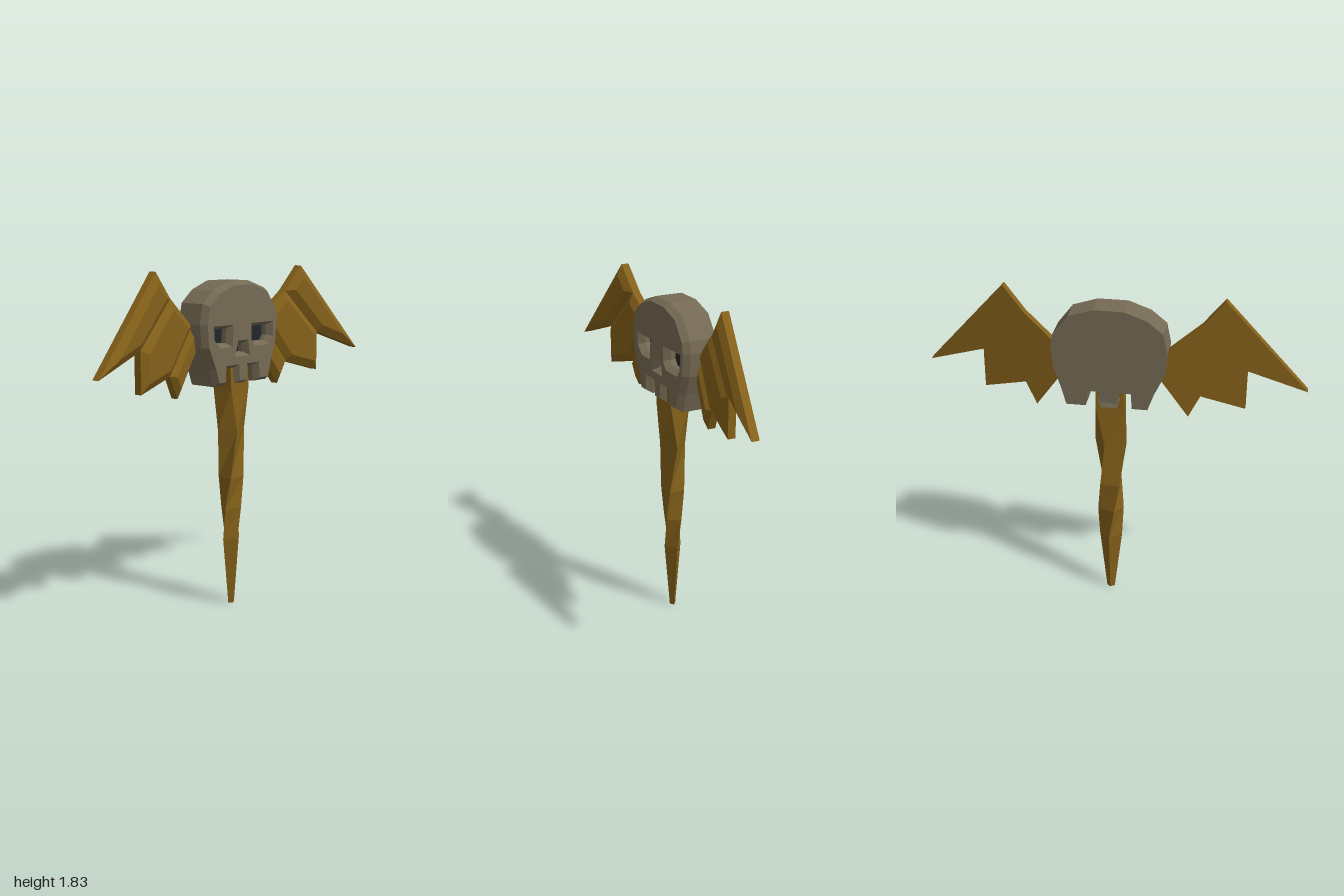
import * as THREE from 'three';
import { ConvexGeometry } from 'three/addons/geometries/ConvexGeometry.js';

const mat = (color) => new THREE.MeshStandardMaterial({ color, flatShading: true });
const bone = mat(0x756a54), gold = mat(0x85611a), dark = mat(0x22262b);
const vecs = (pts) => pts.map(([x, y]) => new THREE.Vector2(x, y));

function add(parent, name, geometry, material) {
  const mesh = new THREE.Mesh(geometry, material);
  mesh.name = name;
  parent.add(mesh);
  return mesh;
}

// Slab with a bevelled front and a flat back at z = 0
function slab(outline, holes, depth, bevel, inset) {
  const shape = new THREE.Shape(vecs(outline));
  holes.forEach((h) => shape.holes.push(new THREE.Path(vecs(h))));
  const geo = new THREE.ExtrudeGeometry(shape, {
    depth, bevelEnabled: bevel > 0, bevelThickness: bevel,
    bevelSize: inset, bevelOffset: -inset, bevelSegments: 1,
  });
  const p = geo.attributes.position;
  for (let i = 0; i < p.count; i++) p.setZ(i, Math.max(0, p.getZ(i)));
  geo.computeVertexNormals();
  return geo;
}

// Convex outline moved inward by a fixed distance
function insetOutline(pts, d) {
  const v = vecs(pts), n = v.length;
  const s = THREE.ShapeUtils.area(v) > 0 ? 1 : -1;
  const normal = (a, b) => new THREE.Vector2(-(b.y - a.y) * s, (b.x - a.x) * s).normalize();
  return v.map((p, i) => {
    const n1 = normal(v[(i + n - 1) % n], p), n2 = normal(p, v[(i + 1) % n]);
    const k = d / (1 + n1.dot(n2));
    return [p.x + (n1.x + n2.x) * k, p.y + (n1.y + n2.y) * k];
  });
}

// Wing of three bevelled panels, swept forward toward the tip
function wing(side, slope) {
  const group = new THREE.Group();
  group.name = side > 0 ? 'leftWing' : 'rightWing';
  const panels = [
    ['outerPanel', 0.04, [[0.995, 1.34], [0.563, 1.825], [0.45, 1.69], [0.687, 1.45]]],
    ['middlePanel', 0.04, [[0.687, 1.45], [0.45, 1.69], [0.275, 1.54], [0.457, 1.3], [0.687, 1.235]]],
    ['innerPanel', 0.028, [[0.457, 1.3], [0.275, 1.54], [0.23, 1.42], [0.398, 1.18]]],
  ];
  for (const [name, inset, pts] of panels) {
    const at = (z) => ([x, y]) => new THREE.Vector3(side * x, y, -0.07 + slope * (x - 0.3) + z);
    const points = [
      ...pts.map(at(0)), ...pts.map(at(0.042)),
      ...insetOutline(pts, inset).map(at(0.068)),
    ];
    add(group, name, new ConvexGeometry(points), gold);
  }
  return group;
}

// Four-sided twisted shaft: height, x radius, z radius, corner angle
function shaft() {
  const rings = [
    [0, 0.022, 0.016, 95], [0.37, 0.063, 0.048, 93], [0.54, 0.073, 0.052, 70],
    [0.71, 0.074, 0.061, 45], [0.97, 0.09, 0.065, 15], [1.2, 0.108, 0.08, 40],
    [1.32, 0.1, 0.08, 45],
  ];
  const pos = [], idx = [];
  rings.forEach(([y, rx, rz, deg], r) => {
    for (let k = 0; k < 4; k++) {
      const a = THREE.MathUtils.degToRad(deg + k * 90);
      pos.push(0.012 + rx * Math.cos(a), y, -0.013 + rz * Math.sin(a));
      if (r === 0) continue;
      const a0 = (r - 1) * 4 + k, b0 = (r - 1) * 4 + ((k + 1) % 4);
      idx.push(a0, a0 + 4, b0, b0, a0 + 4, b0 + 4);
    }
  });
  const t = (rings.length - 1) * 4;
  idx.push(0, 1, 2, 0, 2, 3, t, t + 2, t + 1, t, t + 3, t + 2);
  const geo = new THREE.BufferGeometry();
  geo.setAttribute('position', new THREE.Float32BufferAttribute(pos, 3));
  geo.setIndex(idx);
  const flat = geo.toNonIndexed();
  flat.computeVertexNormals();
  return flat;
}

export function createModel() {
  const model = new THREE.Group();
  model.name = 'skullStaff';
  add(model, 'shaft', shaft(), gold);

  // Skull outline, with teeth along the bottom
  const outline = [
    [-0.193, 1.225], [-0.225, 1.315], [-0.278, 1.43], [-0.289, 1.55], [-0.267, 1.655],
    [-0.187, 1.72], [-0.07, 1.762], [0.085, 1.762], [0.214, 1.72], [0.294, 1.615],
    [0.305, 1.55], [0.294, 1.43], [0.257, 1.325], [0.23, 1.225], [0.128, 1.225],
    [0.118, 1.31], [0.059, 1.31], [0.053, 1.225], [-0.037, 1.225], [-0.043, 1.31],
    [-0.107, 1.31], [-0.112, 1.225],
  ].reverse();
  const holes = [
    [[-0.2, 1.52], [-0.09, 1.52], [-0.095, 1.445], [-0.165, 1.445], [-0.2, 1.48]],
    [[0.093, 1.52], [0.235, 1.52], [0.235, 1.465], [0.215, 1.437], [0.115, 1.437], [0.093, 1.465]],
    [[-0.018, 1.435], [0.032, 1.435], [0.04, 1.39], [-0.035, 1.39]],
  ];
  const skull = new THREE.Group();
  skull.name = 'skull';
  model.add(skull);
  add(skull, 'skullBack', slab(outline, [], 0.107, 0, 0), bone).position.z = -0.107;
  add(skull, 'skullFace', slab(outline, holes, 0.04, 0.035, 0.02), bone);

  // Dark floors of the eye and nose sockets
  holes.forEach((h, i) => {
    const floor = add(skull, i < 2 ? 'eyeSocket' : 'noseSocket', new THREE.ShapeGeometry(new THREE.Shape(vecs(h).reverse())), dark);
    floor.position.z = 0.012;
  });

  // Small wedge behind the middle tooth
  const wedge = [[-0.05, 1.27, -0.1], [0.066, 1.27, -0.1], [-0.035, 1.225, -0.115],
    [0.05, 1.225, -0.115], [-0.035, 1.225, 0], [0.05, 1.225, 0], [0.008, 1.27, 0]];
  add(skull, 'backTooth', new ConvexGeometry(wedge.map((p) => new THREE.Vector3(...p))), bone);

  model.add(wing(1, 0.19), wing(-1, 0.113));
  return model;
}
